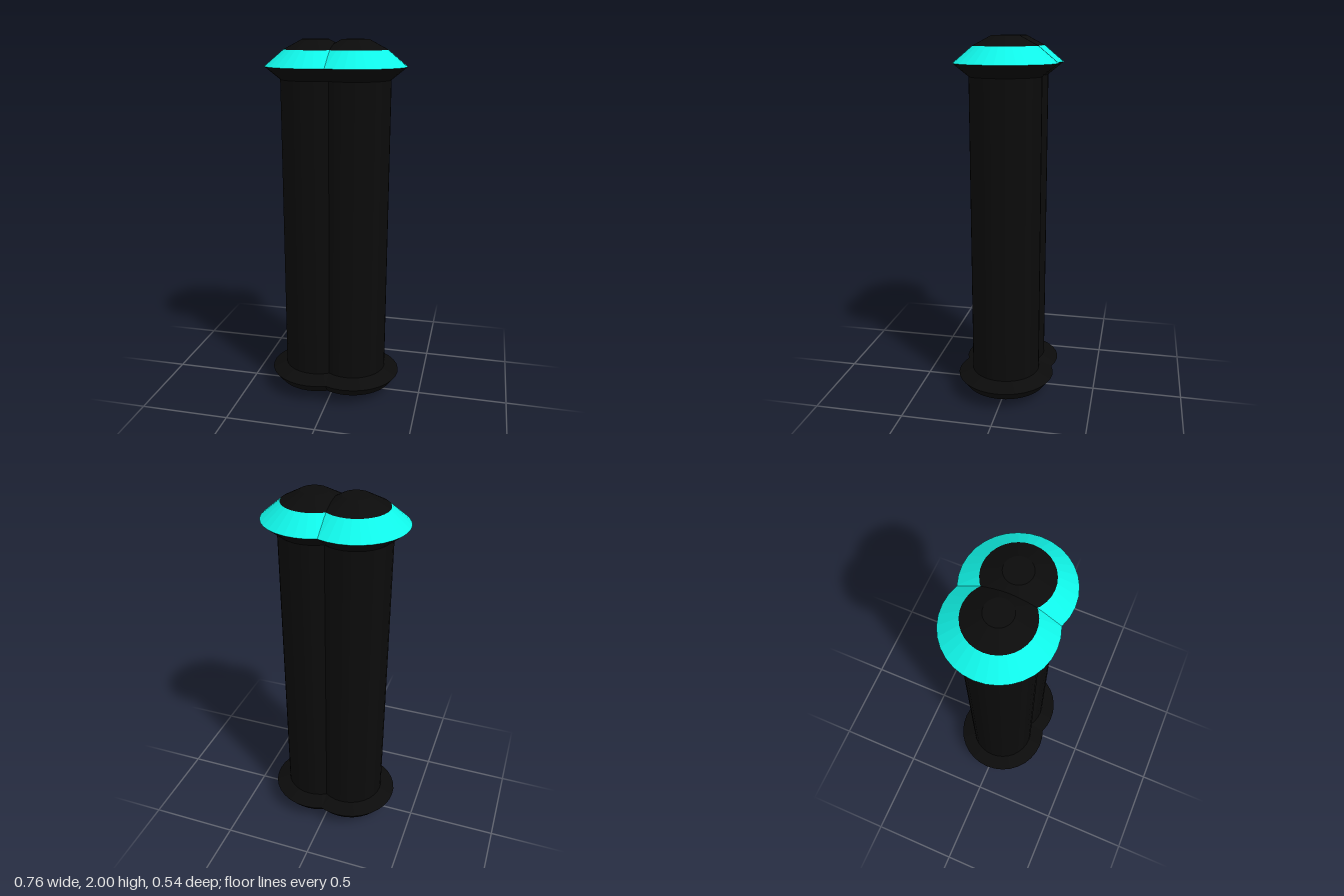
import * as THREE from 'three';

const black = new THREE.MeshStandardMaterial({ color: 0x0b0b0b, flatShading: true });
const teal = new THREE.MeshStandardMaterial({ color: 0x10f5e8, flatShading: true });

// Sections of one rod, each a profile of [radius, height] from bottom to top
const sections = [
  ['bottomDisc', black, [[0, 0], [0.105, 0]]],
  ['bottomBevel', teal, [[0.105, 0], [0.23, 0.065]]],
  ['bottomFlange', black, [[0.23, 0.065], [0.271, 0.118], [0.19, 0.152]]],
  ['shaft', black, [[0.19, 0.152], [0.19, 1.795]]],
  ['topFlange', black, [[0.19, 1.795], [0.272, 1.862]]],
  ['topBevel', teal, [[0.272, 1.862], [0.17, 1.947]]],
  ['topCap', black, [[0.17, 1.947], [0.07, 2], [0, 2]]],
];

// The two rods lean very slightly apart towards the top
function createRod(side) {
  const rod = new THREE.Group();
  for (const [name, material, profile] of sections) {
    const points = profile.map(([r, y]) => new THREE.Vector2(r, y));
    const geometry = new THREE.LatheGeometry(points, 32);
    const pos = geometry.attributes.position;
    for (let i = 0; i < pos.count; i++) {
      pos.setX(i, pos.getX(i) + side * (0.101 + 0.003 * pos.getY(i)));
    }
    geometry.computeVertexNormals();
    const mesh = new THREE.Mesh(geometry, material);
    mesh.name = name;
    rod.add(mesh);
  }
  return rod;
}

export function createModel() {
  const model = new THREE.Group();
  model.name = 'doubleRod';
  for (const side of [-1, 1]) {
    const rod = createRod(side);
    rod.name = side > 0 ? 'leftRod' : 'rightRod';
    model.add(rod);
  }
  return model;
}
